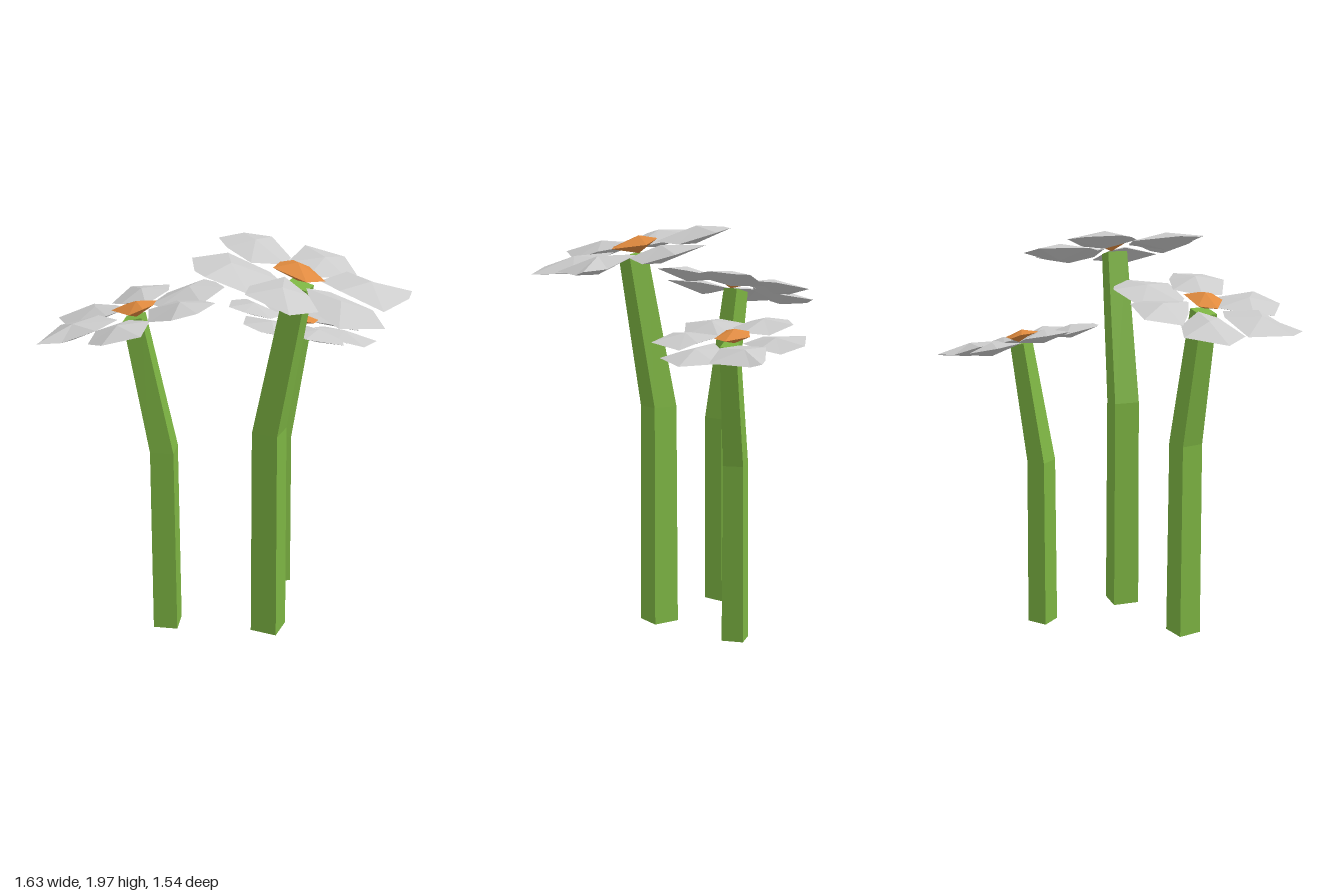
import * as THREE from 'three';

const paint = (color) => new THREE.MeshStandardMaterial({ color, flatShading: true });

// Petal outlines [x, z] around the flower's heart, clockwise seen from above
const PETALS = [
  [[-.13, -.42], [.06, -.45], [.16, -.33], [.15, -.2], [.01, -.07], [-.12, -.16]],
  [[.14, -.24], [.31, -.275], [.44, -.285], [.445, -.22], [.4, .03], [.19, .02], [.07, -.06]],
  [[.15, .03], [.34, 0], [.455, .19], [.3, .35], [.15, .26], [.06, .09]],
  [[-.05, .07], [.1, .18], [.18, .27], [.117, .46], [-.11, .395], [-.13, .29]],
  [[-.36, -.02], [-.13, .04], [-.07, .1], [-.115, .325], [-.305, .37], [-.375, .32], [-.445, .19]],
  [[-.445, -.11], [-.38, -.26], [-.26, -.317], [-.12, -.2], [-.09, -.05], [-.22, .05], [-.37, -.03]],
];
const HEART = [[-.11, -.03], [-.07, -.09], [0, -.11], [.12, .01], [.06, .09], [-.11, .06]];
const SLOPE = -0.25; // the head leans toward +x

// Faceted lens: an outline joined to one peak above and one below
function lens(outline, up, down, lift, wave) {
  const n = outline.length;
  const cx = outline.reduce((s, p) => s + p[0], 0) / n;
  const cz = outline.reduce((s, p) => s + p[1], 0) / n;
  const rim = outline.map(([x, z], i) => [x, SLOPE * x + lift + wave * Math.sin(i * 2.4 + cx * 9), z]);
  const top = [cx, SLOPE * cx + lift + up, cz];
  const bottom = [cx, SLOPE * cx + lift - down, cz];
  const pos = [];
  rim.forEach((a, i) => {
    const b = rim[(i + 1) % n];
    pos.push(...top, ...b, ...a, ...bottom, ...a, ...b);
  });
  const geo = new THREE.BufferGeometry();
  geo.setAttribute('position', new THREE.Float32BufferAttribute(pos, 3));
  geo.computeVertexNormals();
  return geo;
}

// Square stem: upright, then bent toward +x and tapering
function stemGeometry() {
  const geo = new THREE.BoxGeometry(1, 2, 1, 1, 2, 1).toNonIndexed();
  const p = geo.attributes.position;
  const levels = [
    { x: 0, y: 0, w: .135 },
    { x: -.004, y: 1.09, w: .127 },
    { x: .135, y: 1.83, w: .1 },
  ];
  for (let i = 0; i < p.count; i++) {
    const l = levels[Math.round(p.getY(i)) + 1];
    const dx = p.getX(i) * l.w;
    const lean = l.y > 1.5 ? SLOPE * dx : 0;
    p.setXYZ(i, l.x + dx, l.y + lean, p.getZ(i) * l.w);
  }
  geo.computeVertexNormals();
  return geo;
}

function flower(mats) {
  const g = new THREE.Group();
  const add = (parent, name, geo, mat) => {
    const m = new THREE.Mesh(geo, mat);
    m.name = name;
    parent.add(m);
  };
  add(g, 'stem', stemGeometry(), mats.stem);
  const head = new THREE.Group();
  head.name = 'flowerHead';
  head.position.set(.135, 1.855, -.01);
  PETALS.forEach((o, i) => add(head, 'petal', lens(o, .04, .045, i % 2 ? .008 : -.008, .012), mats.petal));
  add(head, 'heart', lens(HEART, .035, .05, .03, .006), mats.heart);
  g.add(head);
  return g;
}

export function createModel() {
  const model = new THREE.Group();
  model.name = 'flowers';
  const mats = { stem: paint(0x7cb342), petal: paint(0xcccccc), heart: paint(0xe08a3e) };
  // The same flower three times: position, scale and heading
  const places = [
    ['tallFlower', .224, .16, 1, 0],
    ['middleFlower', -.265, .315, .895, 166],
    ['smallFlower', .095, -.315, .78, -40],
  ];
  for (const [name, x, z, scale, heading] of places) {
    const f = flower(mats);
    f.name = name;
    f.position.set(x, 0, z);
    f.scale.setScalar(scale);
    f.rotation.y = -THREE.MathUtils.degToRad(heading);
    model.add(f);
  }
  return model;
}
